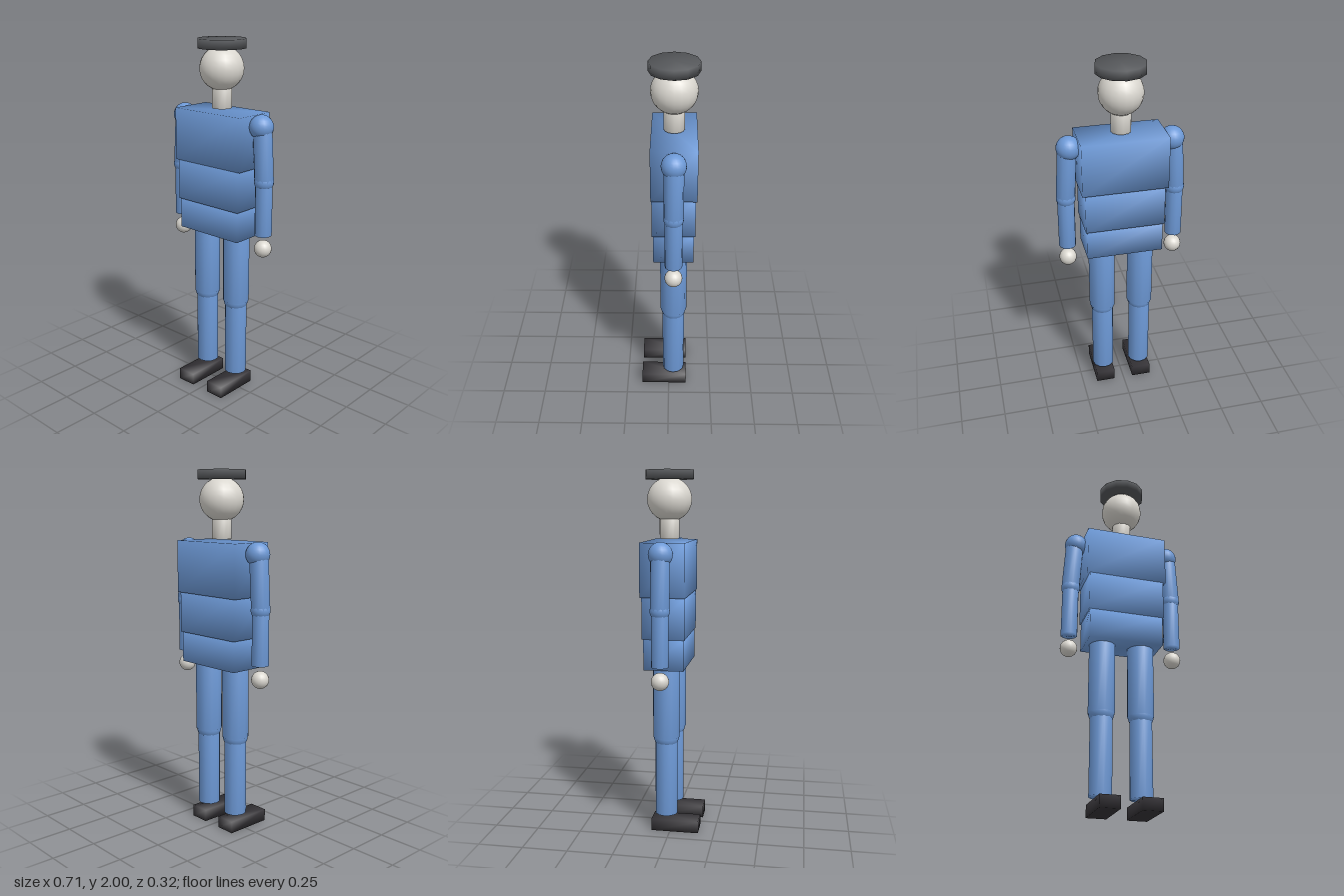
import * as THREE from 'three';
import { mergeVertices } from 'three/addons/utils/BufferGeometryUtils.js';

const Z = -0.027; // depth of the body's centre line

const material = (name, color) => {
  const m = new THREE.MeshStandardMaterial({ color });
  m.name = name;
  return m;
};

// Welds all corners so that normals run smoothly over the edges
function soften(geometry) {
  geometry.deleteAttribute('normal');
  geometry.deleteAttribute('uv');
  const welded = mergeVertices(geometry, 1e-4);
  welded.computeVertexNormals();
  return welded;
}

export function createModel() {
  const group = new THREE.Group();
  group.name = 'uniformedFigure';
  const cloth = material('blueCloth', 0x6d99d6);
  const skin = material('paleSkin', 0xdad7d0);
  const hatGrey = material('hatGrey', 0x56585b);
  const shoeBlack = material('shoeBlack', 0x343236);

  const add = (name, geometry, mat, x, y, z = Z) => {
    const mesh = new THREE.Mesh(geometry, mat);
    mesh.name = name;
    mesh.position.set(x, y, z);
    group.add(mesh);
    return mesh;
  };
  const block = (name, mat, x, y0, y1, width, z0, z1) =>
    add(name, soften(new THREE.BoxGeometry(width, y1 - y0, z1 - z0)), mat, x, (y0 + y1) / 2, (z0 + z1) / 2);
  const ball = (name, mat, x, y, r) => add(name, new THREE.SphereGeometry(r, 20, 14), mat, x, y);
  // Closed cylinder running between two points in the body's plane
  const limb = (name, mat, x0, y0, x1, y1, r) => {
    const geometry = soften(new THREE.CylinderGeometry(r, r, Math.hypot(x1 - x0, y1 - y0), 12));
    const mesh = add(name, geometry, mat, (x0 + x1) / 2, (y0 + y1) / 2);
    mesh.rotation.z = Math.atan2(x0 - x1, y1 - y0);
  };

  // Torso in three blocks
  block('chest', cloth, 0, 1.335, 1.623, 0.465, -0.149, 0.093);
  block('waist', cloth, 0, 1.11, 1.336, 0.434, -0.142, 0.089);
  block('hips', cloth, 0, 0.94, 1.111, 0.42, -0.135, 0.083);

  // Neck, head and flat round hat
  limb('neck', skin, 0, 1.635, 0, 1.76, 0.055);
  ball('head', skin, 0, 1.845, 0.118).scale.z = 1.04;
  limb('hat', hatGrey, 0, 1.95, 0, 2, 0.132);

  for (const [side, s] of [['left', 1], ['right', -1]]) {
    // Arm
    ball(side + 'Shoulder', cloth, s * 0.277, 1.566, 0.065);
    limb(side + 'UpperArm', cloth, s * 0.302, 1.275, s * 0.284, 1.566, 0.052);
    ball(side + 'Elbow', cloth, s * 0.301, 1.277, 0.053);
    limb(side + 'Forearm', cloth, s * 0.302, 0.98, s * 0.301, 1.277, 0.047);
    ball(side + 'Hand', skin, s * 0.302, 0.902, 0.048);

    // Leg
    limb(side + 'Thigh', cloth, s * 0.111, 0.545, s * 0.111, 0.945, 0.075);
    ball(side + 'Knee', cloth, s * 0.111, 0.547, 0.071);
    limb(side + 'Shin', cloth, s * 0.111, 0.094, s * 0.111, 0.546, 0.063);
    block(side + 'Shoe', shoeBlack, s * 0.111, 0, 0.067, 0.11, -0.105, 0.16);
  }
  return group;
}
